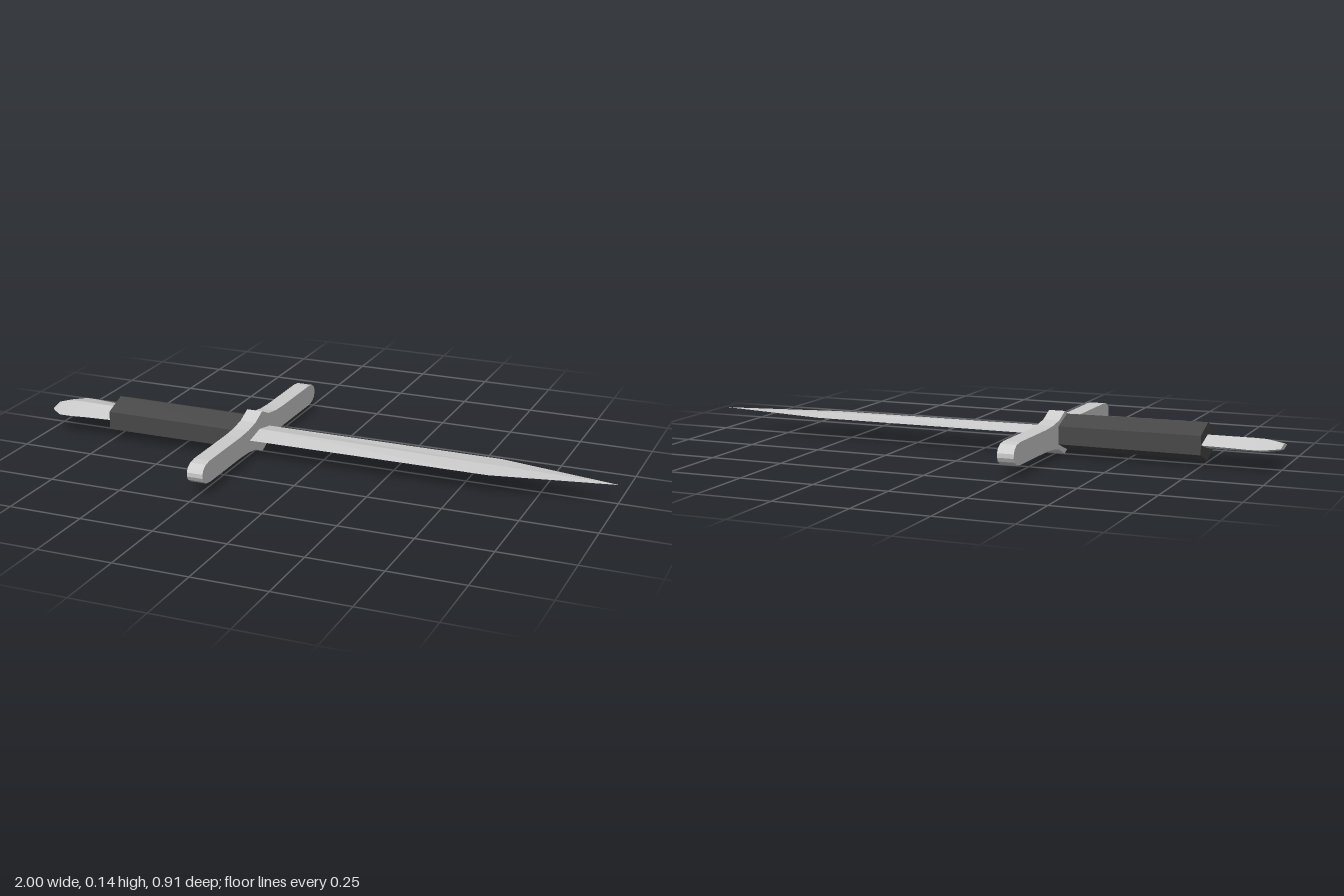
import * as THREE from 'three';

const CY = 0.071; // height of the long axis
const CZ = 0.02;  // sideways offset of blade, grip and pommel

const DIAMOND = [[1, 0], [0, -1], [-1, 0], [0, 1]];
const HEXAGON = [[1, -0.5], [0, -1], [-1, -0.5], [-1, 0.5], [0, 1], [1, 0.5]];

// Lofts a unit cross-section along x; each station is [x, halfWidth, halfHeight].
function loft(section, stations) {
  const n = section.length;
  const pos = [];
  const index = [];
  for (const [x, w, h] of stations) {
    for (const [z, y] of section) pos.push(x, CY + y * h, CZ + z * w);
  }
  for (let s = 0; s < stations.length - 1; s++) {
    for (let i = 0; i < n; i++) {
      const a = s * n + i;
      const b = s * n + (i + 1) % n;
      index.push(a, b, b + n, a, b + n, a + n);
    }
  }
  const last = (stations.length - 1) * n;
  for (let i = 1; i < n - 1; i++) {
    index.push(0, i + 1, i, last, last + i, last + i + 1);
  }
  const geo = new THREE.BufferGeometry();
  geo.setAttribute('position', new THREE.Float32BufferAttribute(pos, 3));
  geo.setIndex(index);
  const flat = geo.toNonIndexed();
  flat.computeVertexNormals();
  return flat;
}

// Crossguard outline: one quarter [z, y], mirrored both ways.
function guardGeometry() {
  const quarter = [
    [0, 0.071], [0.053, 0.048], [0.11, 0.039], [0.17, 0.036], [0.4, 0.036],
    [0.43, 0.032], [0.448, 0.02], [0.455, 0.007],
  ];
  const upper = [...quarter].reverse().concat(quarter.slice(1).map(([z, y]) => [-z, y]));
  const lower = [...upper].reverse().map(([z, y]) => [z, -y]).filter(([z]) => true);
  const outline = [...upper, ...lower].map(([z, y]) => new THREE.Vector2(z, y));
  const geo = new THREE.ExtrudeGeometry(new THREE.Shape(outline), { depth: 0.055, bevelEnabled: false });
  geo.rotateY(Math.PI / 2);
  geo.translate(-0.28, CY, 0);
  return geo;
}

export function createModel() {
  const group = new THREE.Group();
  const metal = new THREE.MeshStandardMaterial({ color: 0xcccccc, flatShading: true });
  const wrap = new THREE.MeshStandardMaterial({ color: 0x474747, flatShading: true });
  const add = (name, geo, mat) => {
    const mesh = new THREE.Mesh(geo, mat);
    mesh.name = name;
    group.add(mesh);
  };

  // Diamond-section blade tapering to a point
  add('blade', loft(DIAMOND, [
    [-0.25, 0.08, 0.0155], [0.6, 0.077, 0.007], [1, 0.0005, 0.0005],
  ]), metal);

  // Crossguard with a raised centre and rounded ends
  add('crossguard', guardGeometry(), metal);

  // Six-sided grip
  add('grip', loft(HEXAGON, [
    [-0.755, 0.082, 0.062], [-0.27, 0.081, 0.059],
  ]), wrap);

  // Flat flared pommel
  add('pommel', loft(DIAMOND, [
    [-1, 0.045, 0.009], [-0.985, 0.063, 0.014], [-0.945, 0.095, 0.021],
    [-0.905, 0.095, 0.022], [-0.85, 0.087, 0.022], [-0.74, 0.078, 0.022],
  ]), metal);

  return group;
}
